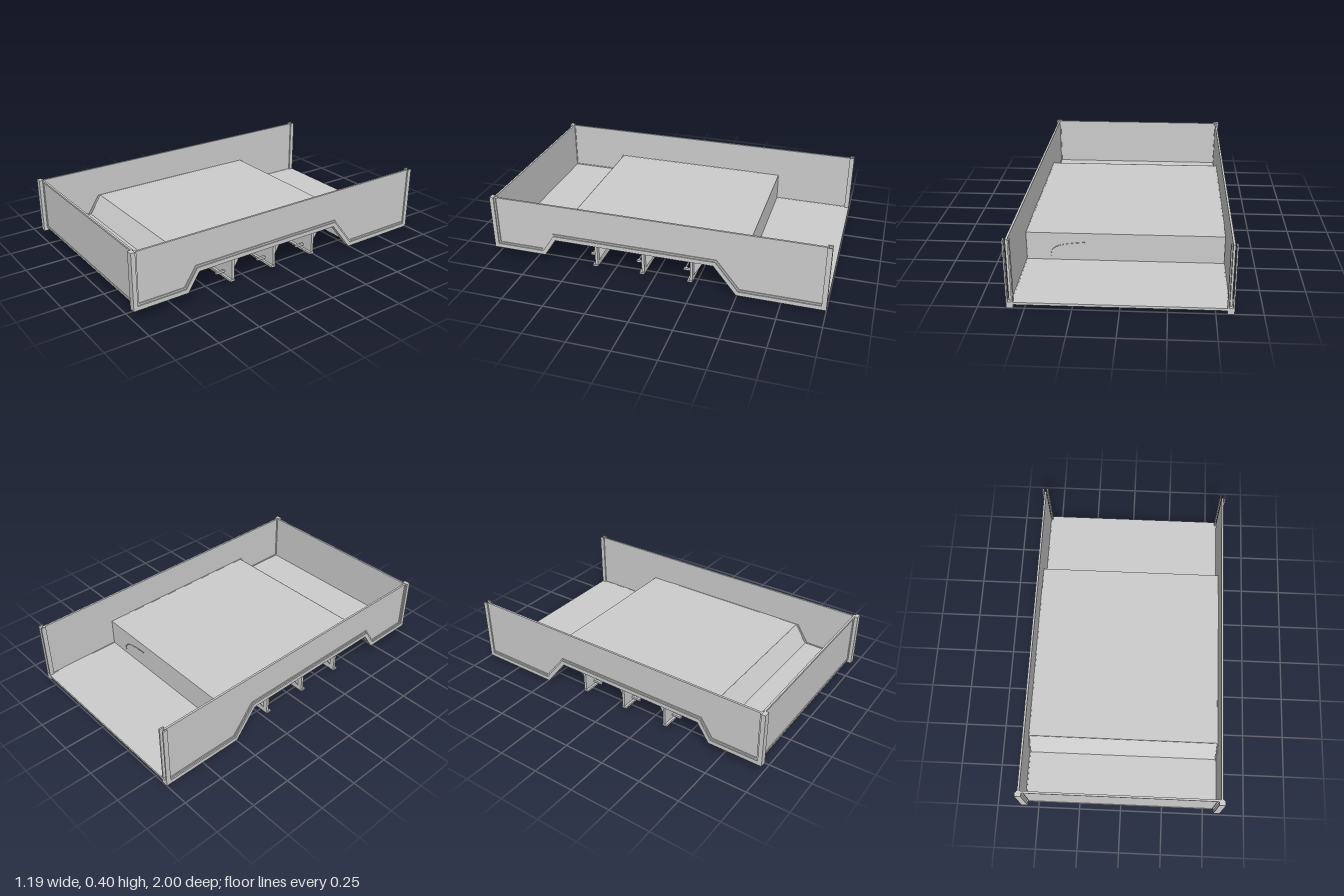
import * as THREE from 'three';

const material = new THREE.MeshStandardMaterial({ color: 0xcccccc, side: THREE.DoubleSide });

export function createModel() {
  const root = new THREE.Group();

  const add = (name, geometry) => {
    const mesh = new THREE.Mesh(geometry, material);
    mesh.name = name;
    root.add(mesh);
    return mesh;
  };
  // Box given by its lowest and highest corners
  const box = (name, x0, x1, y0, y1, z0, z1) => {
    const g = new THREE.BoxGeometry(x1 - x0, y1 - y0, z1 - z0);
    g.translate((x0 + x1) / 2, (y0 + y1) / 2, (z0 + z1) / 2);
    return add(name, g);
  };
  // Plate with a [z, y] outline, spanning x0 to x1
  const plate = (name, points, x0, x1) => {
    const shape = new THREE.Shape(points.map(([z, y]) => new THREE.Vector2(z, y)));
    const g = new THREE.ExtrudeGeometry(shape, { depth: x1 - x0, bevelEnabled: false });
    g.rotateY(-Math.PI / 2);
    g.translate(x1, 0, 0);
    return add(name, g);
  };

  // Stepped lower edge of the side walls, shifted up and outwards by t
  const edge = (t) => [
    [1, 0.06 + t], [0.67 + t * 0.5, 0.06 + t], [0.597 + t * 0.5, 0.17 + t],
    [-0.36 - t * 0.45, 0.17 + t], [-0.495 - t * 0.45, t], [-1, t],
  ];
  const band = (t0, t1) => [...edge(t0), ...edge(t1).reverse()];
  const wall = [...edge(0.01).map(([z, y]) => [z * 0.98, y]), [-0.98, 0.392], [0.98, 0.392]];

  for (const s of [-1, 1]) {
    const span = (a, b) => (s > 0 ? [a, b] : [-b, -a]);
    plate('sideWall', wall, ...span(0.572, 0.584));
    // Stepped trim along the lower edge
    plate('sideTrim', band(0, 0.025), ...span(0.563, 0.597));
    plate('sideTrimStep', band(0.025, 0.035), ...span(0.567, 0.59));
    // Solid front post and a pair of open fins at the rear
    box('frontPost', ...span(0.56, 0.597), 0.06, 0.396, 0.975, 1);
    box('frontPostStep', ...span(0.567, 0.59), 0.085, 0.392, 0.965, 0.975);
    for (const x of [0.56, 0.589]) {
      box('rearPostFin', ...span(x, x + 0.008), 0, 0.396, -1, -0.972);
    }
    // Ledge under the edge of the raised floor
    box('floorLedge', ...span(0.53, 0.572), 0.178, 0.194, -0.505, 0.6);
  }

  // Front panel with a raised border
  box('frontPanel', -0.565, 0.565, 0.08, 0.39, 0.968, 0.976);
  const frame = new THREE.Shape([[-0.562, 0.08], [0.562, 0.08], [0.562, 0.396], [-0.562, 0.396]]
    .map((p) => new THREE.Vector2(...p)));
  frame.holes.push(new THREE.Path([[-0.55, 0.092], [-0.55, 0.385], [0.55, 0.385], [0.55, 0.092]]
    .map((p) => new THREE.Vector2(...p))));
  const frameGeometry = new THREE.ExtrudeGeometry(frame, { depth: 0.012, bevelEnabled: false });
  frameGeometry.translate(0, 0, 0.968);
  add('frontPanelFrame', frameGeometry);

  // Floors on three levels, with the slope and the riser that join them
  box('frontFloor', -0.57, 0.57, 0.078, 0.09, 0.675, 0.972);
  plate('frontSlope', [[0.672, 0.082], [0.678, 0.09], [0.604, 0.204], [0.597, 0.196]], -0.57, 0.57);
  box('raisedFloor', -0.57, 0.57, 0.194, 0.204, -0.512, 0.602);
  box('rearRiser', -0.57, 0.57, 0.02, 0.204, -0.513, -0.503);
  box('rearFloor', -0.57, 0.57, 0.02, 0.034, -1, -0.505);

  // Cross members with foot flange, end gussets and a hung rod
  for (const z of [0.355, 0.065, -0.225]) {
    box('crossMember', -0.565, 0.565, 0.03, 0.195, z - 0.008, z + 0.008);
    box('crossMemberFoot', -0.57, 0.57, 0.018, 0.03, z - 0.008, z + 0.022);
    box('rod', -0.49, 0.49, 0.047, 0.054, z + 0.052, z + 0.06);
    for (const x of [-0.53, 0.53]) {
      plate('gusset', [[z, 0.194], [z, 0.035], [z - 0.08, 0.17], [z - 0.08, 0.194]], x - 0.008, x + 0.008);
      const lugX = x * 0.92;
      box('rodLug', lugX - 0.007, lugX + 0.007, 0.044, 0.057, z + 0.005, z + 0.065);
    }
  }

  // Thin cable along the rear riser
  const cable = new THREE.CatmullRomCurve3([
    [0.43, 0.06, -0.514], [0.42, 0.1, -0.518], [0.38, 0.125, -0.514], [0.3, 0.14, -0.514], [0.23, 0.15, -0.518],
  ].map((p) => new THREE.Vector3(...p)));
  add('cable', new THREE.TubeGeometry(cable, 20, 0.002, 6));

  return root;
}
